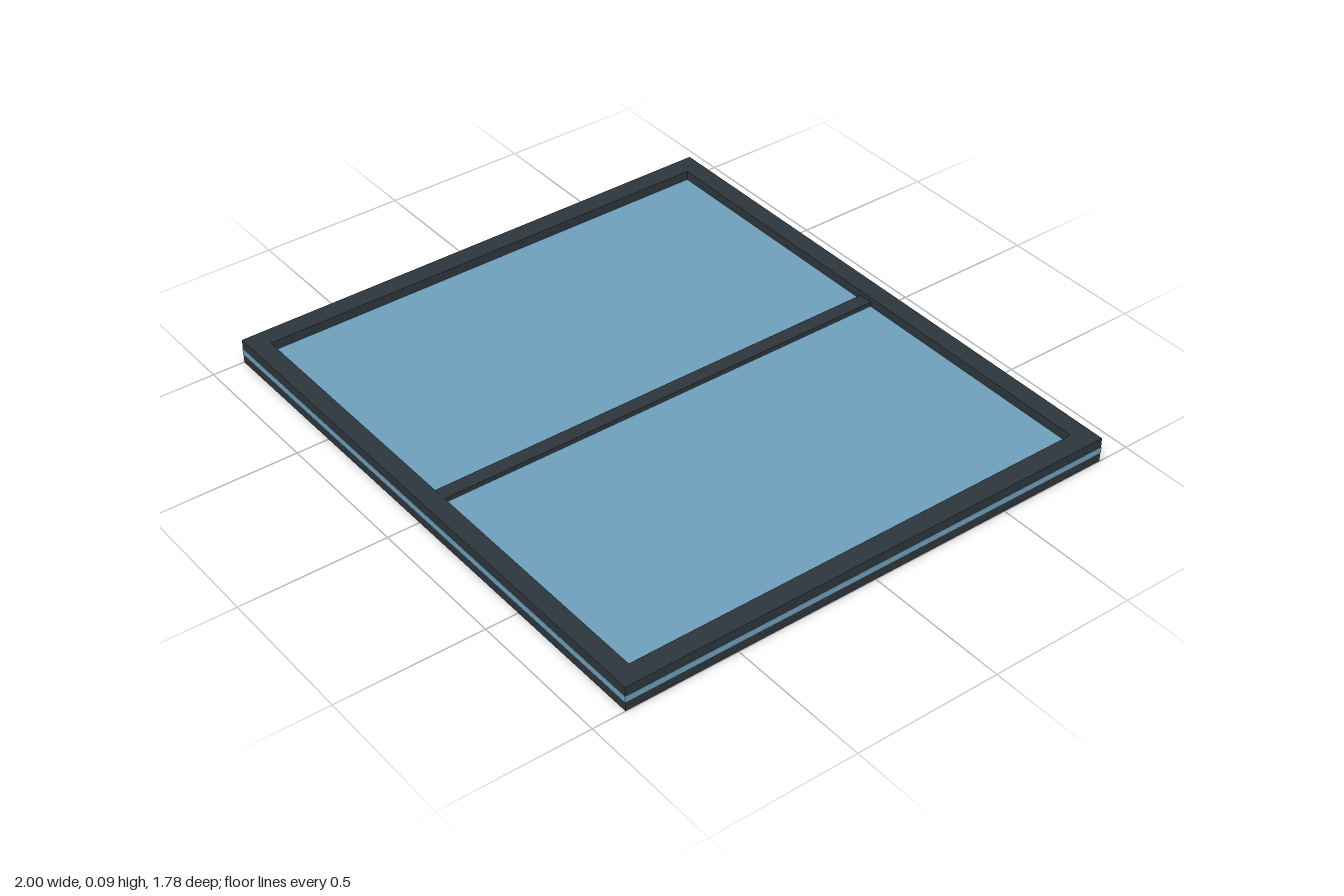
import * as THREE from 'three';

const frameMat = new THREE.MeshStandardMaterial({ color: 0x2d363c });
frameMat.name = 'dark frame';
const glassMat = new THREE.MeshStandardMaterial({ color: 0x6f9fba });
glassMat.name = 'blue glass';

const W = 2, D = 1.78, H = 0.086;      // overall size
const OPEN_W = 1.86, OPEN_D = 1.65;    // opening inside the frame
const LIP = 0.001;                     // glass edge shows just proud of the frame

function rectPoints(w, d) {
  return [[-w, -d], [w, -d], [w, d], [-w, d]].map(([x, y]) => new THREE.Vector2(x / 2, y / 2));
}

function addMesh(group, name, geometry, material, y) {
  const mesh = new THREE.Mesh(geometry, material);
  mesh.name = name;
  mesh.position.y = y;
  group.add(mesh);
}

export function createModel() {
  const model = new THREE.Group();
  model.name = 'windowPanel';

  // Rectangular frame lying flat
  const outline = new THREE.Shape(rectPoints(W - 2 * LIP, D - 2 * LIP));
  outline.holes.push(new THREE.Path(rectPoints(OPEN_W, OPEN_D).reverse()));
  const frame = new THREE.ExtrudeGeometry(outline, { depth: H, bevelEnabled: false });
  frame.rotateX(-Math.PI / 2);
  addMesh(model, 'frame', frame, frameMat, 0);

  // Glass sheet running through to the frame's outer edges
  addMesh(model, 'glass', new THREE.BoxGeometry(W, 0.021, D), glassMat, 0.043);

  // Centre bar, slightly thinner than the frame
  addMesh(model, 'centreBar', new THREE.BoxGeometry(0.05, 0.052, OPEN_D), frameMat, 0.043);

  return model;
}
